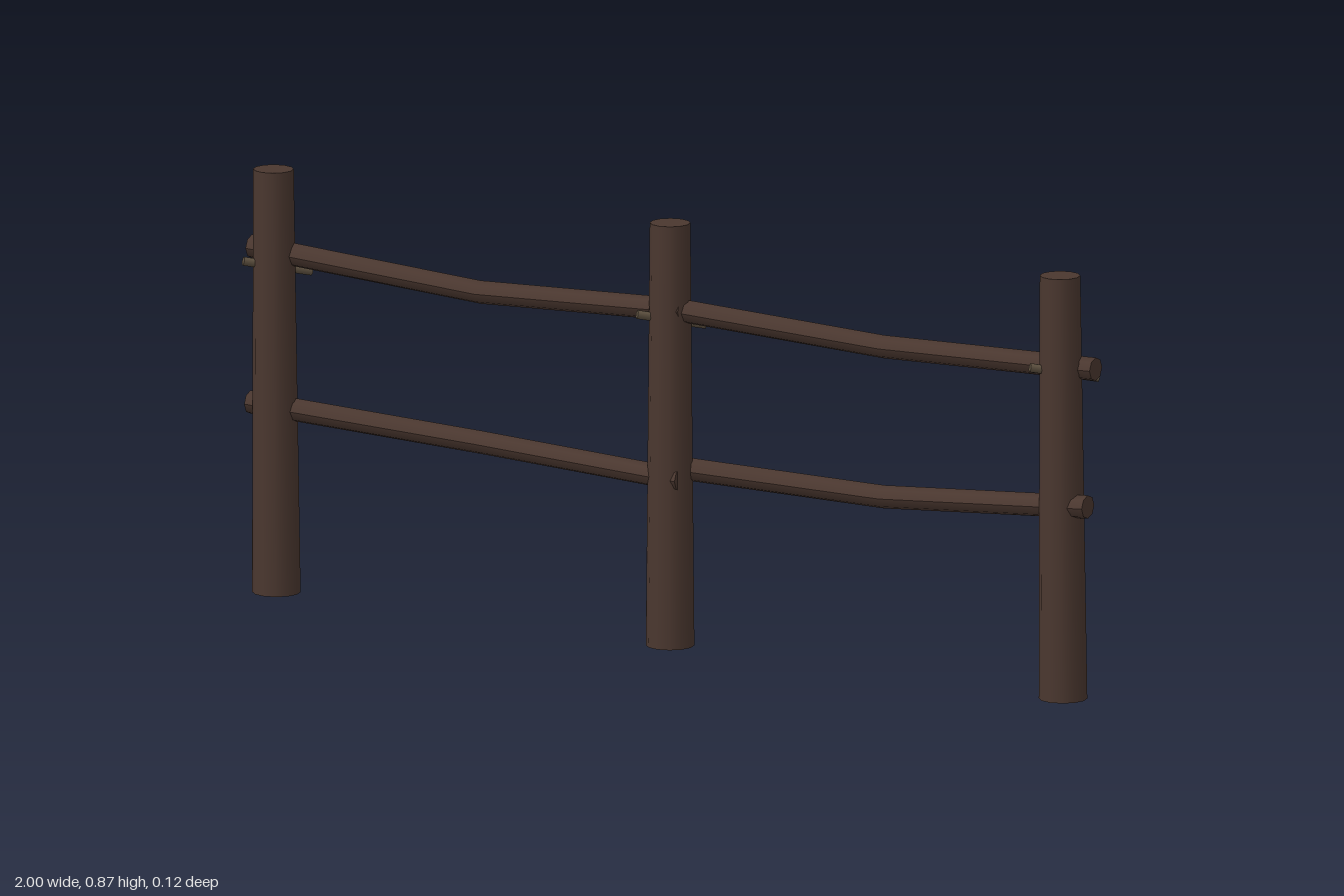
import * as THREE from 'three';

export function createModel() {
  const fence = new THREE.Group();
  fence.name = 'fence';

  const bark = new THREE.MeshStandardMaterial({ color: 0x4a372f });
  bark.name = 'dark brown bark';
  const peg = new THREE.MeshStandardMaterial({ color: 0x5e5140 });
  peg.name = 'grey brown twig';

  const add = (geometry, material, name) => {
    const mesh = new THREE.Mesh(geometry, material);
    mesh.name = name;
    fence.add(mesh);
    return mesh;
  };

  // Round log through a list of [x, y, z] centres running along x
  const bentLog = (points, radius) => {
    const rows = points.length - 1;
    const geo = new THREE.CylinderGeometry(radius, radius, rows, 8, rows);
    geo.rotateZ(-Math.PI / 2);
    const pos = geo.attributes.position;
    for (let i = 0; i < pos.count; i++) {
      const [x, y, z] = points[Math.round(pos.getX(i) + rows / 2)];
      pos.setXYZ(i, x, pos.getY(i) + y, pos.getZ(i) + z);
    }
    geo.computeVertexNormals();
    return geo;
  };

  // Tapered posts, the outer two leaning slightly, each with a twig peg
  const height = 0.873;
  const posts = [
    { name: 'rightPost', x: -0.936, lean: -0.007 },
    { name: 'middlePost', x: 0, lean: 0 },
    { name: 'leftPost', x: 0.934, lean: -0.007 },
  ];
  for (const { name, x, lean } of posts) {
    const geo = new THREE.CylinderGeometry(0.041, 0.049, height, 12);
    geo.translate(0, height / 2, 0);
    const pos = geo.attributes.position;
    for (let i = 0; i < pos.count; i++) {
      pos.setX(i, pos.getX(i) + lean * pos.getY(i) / height);
    }
    add(geo, bark, name).position.set(x, 0, 0.009);

    // Peg runs diagonally from front right down to back left
    const from = new THREE.Vector3(x - 0.05, 0.686, 0.055);
    const to = new THREE.Vector3(x + 0.05, 0.658, -0.047);
    const path = new THREE.Vector3().subVectors(to, from);
    const twig = add(new THREE.CylinderGeometry(0.009, 0.009, path.length(), 6), peg, name + 'Peg');
    twig.position.copy(from).add(to).multiplyScalar(0.5);
    twig.quaternion.setFromUnitVectors(new THREE.Vector3(0, 1, 0), path.normalize());
  }

  // Sagging rails, bent once between posts
  const rails = {
    upperRightRail: [[-1, 0.705, 0], [-0.48, 0.664, -0.038], [0.035, 0.697, 0.013]],
    lowerRightRail: [[-1, 0.384, 0.005], [-0.48, 0.354, -0.038], [0.035, 0.349, 0.025]],
    upperLeftRail: [[-0.035, 0.697, 0.01], [0.48, 0.664, -0.038], [1, 0.684, -0.01]],
    lowerLeftRail: [[-0.035, 0.362, -0.018], [0.48, 0.354, -0.038], [1, 0.405, 0.02]],
  };
  for (const [name, points] of Object.entries(rails)) {
    add(bentLog(points, 0.024), bark, name);
  }

  return fence;
}
